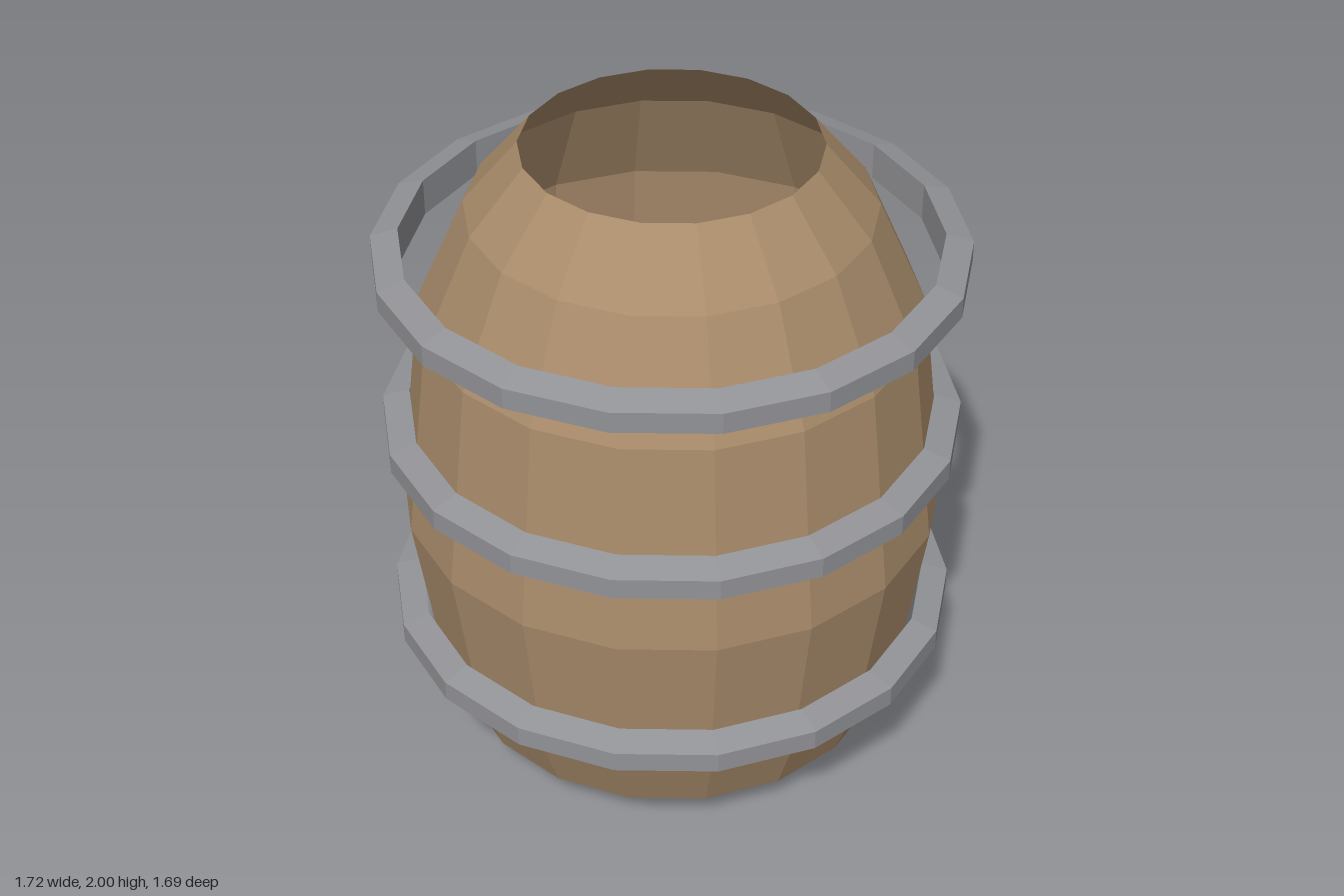
import * as THREE from 'three';

const SIDES = 18;

// Faceted solid of revolution with a corner on the x axis
function turned(name, profile, material) {
  const points = profile.map(([r, y]) => new THREE.Vector2(r, y));
  const geometry = new THREE.LatheGeometry(points, SIDES, Math.PI / 2).toNonIndexed();
  geometry.computeVertexNormals();
  const mesh = new THREE.Mesh(geometry, material);
  mesh.name = name;
  return mesh;
}

export function createModel() {
  const wood = new THREE.MeshStandardMaterial({ color: 0xa98c6b, flatShading: true, side: THREE.DoubleSide });
  wood.name = 'wood';
  const iron = new THREE.MeshStandardMaterial({ color: 0x929397, flatShading: true });
  iron.name = 'iron';

  const barrel = new THREE.Group();
  barrel.name = 'barrel';

  // Thin wooden wall, open at both ends
  barrel.add(turned('barrelWall', [
    [0.43, 0], [0.665, 0.12], [0.74, 0.315], [0.815, 0.84],
    [0.738, 1.48], [0.59, 1.81], [0.43, 2],
  ], wood));

  // Loose hoops with a tapered section
  const hoop = [[0.78, -0.057], [0.86, -0.032], [0.86, 0.032], [0.78, 0.057], [0.78, -0.057]];
  [['lowerHoop', 0.45], ['middleHoop', 1.095], ['upperHoop', 1.655]].forEach(([name, y]) => {
    const mesh = turned(name, hoop, iron);
    mesh.position.y = y;
    barrel.add(mesh);
  });

  return barrel;
}
